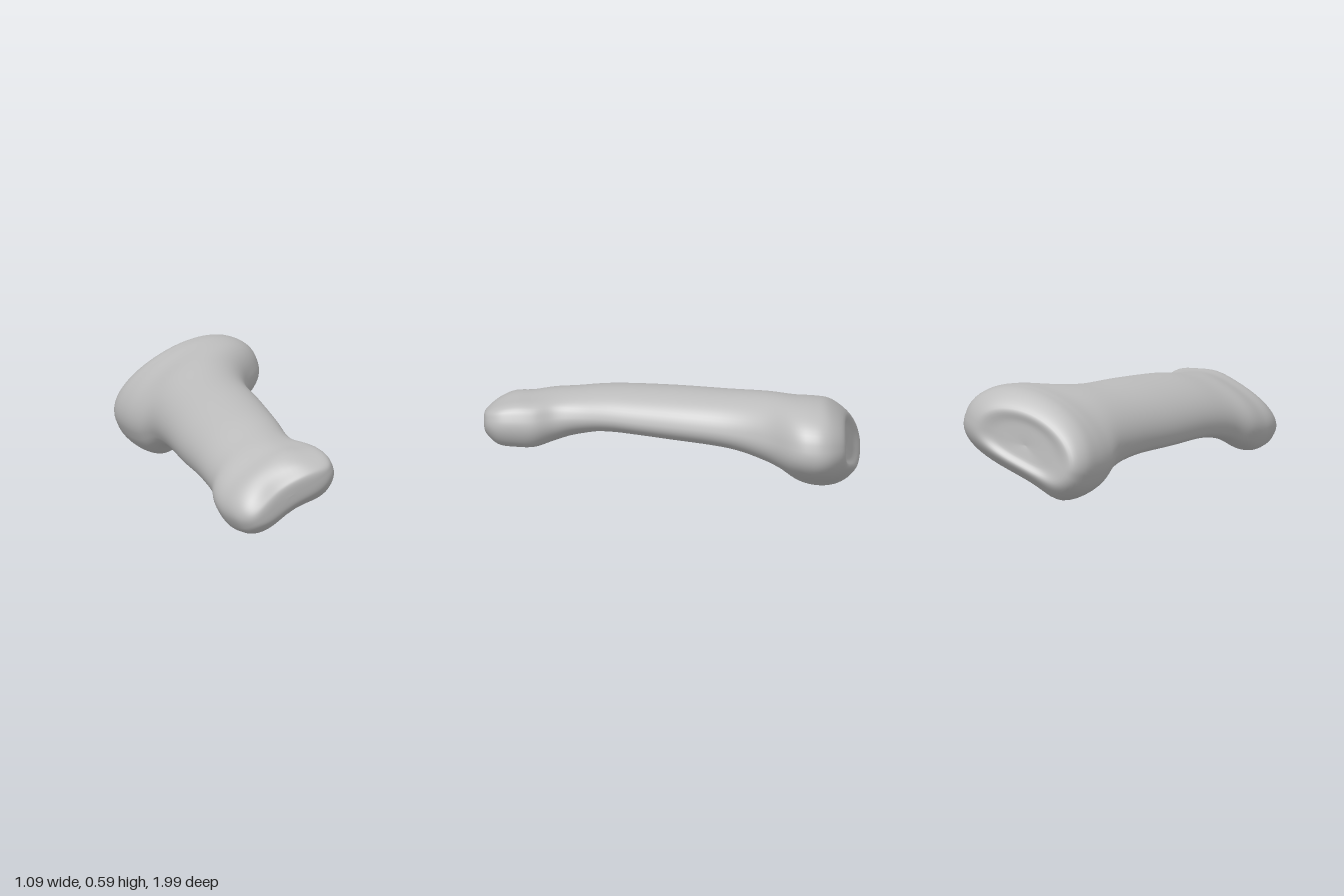
import * as THREE from 'three';

// Cross-sections from the socket rim (back) to the knuckle (front):
// z, centre x, centre y, half width, dorsal height, palmar depth
const BODY = [
  [-0.955, 0.14, 0.295, 0.30, 0.17, 0.12],
  [-0.89, 0.15, 0.30, 0.38, 0.245, 0.18],
  [-0.78, 0.15, 0.30, 0.406, 0.262, 0.195],
  [-0.65, 0.13, 0.305, 0.393, 0.255, 0.18],
  [-0.5, 0.055, 0.32, 0.308, 0.23, 0.15],
  [-0.3, -0.02, 0.325, 0.272, 0.207, 0.115],
  [0, -0.10, 0.325, 0.272, 0.195, 0.10],
  [0.3, -0.175, 0.322, 0.262, 0.177, 0.09],
  [0.5, -0.225, 0.30, 0.258, 0.165, 0.10],
  [0.62, -0.257, 0.28, 0.283, 0.163, 0.125],
  [0.73, -0.25, 0.265, 0.312, 0.163, 0.145],
  [0.83, -0.25, 0.265, 0.314, 0.158, 0.145],
  [0.91, -0.25, 0.262, 0.298, 0.127, 0.125],
  [0.965, -0.25, 0.262, 0.25, 0.078, 0.082],
];
const SIDES = 64;
const STEPS = 6;
const smooth = THREE.MathUtils.smoothstep;

// Shrunken copy of a section, used for the end surfaces
const shrink = ([z, x, y, ...sizes], k, dz) => [z + dz, x, y, ...sizes.map((v) => v * k)];
const rim = BODY[0];
const knuckle = BODY[BODY.length - 1];
const SECTIONS = [
  shrink(rim, 0.01, 0.04), shrink(rim, 0.6, 0.025), // hollow socket
  ...BODY,
  shrink(knuckle, 0.64, 0.02), shrink(knuckle, 0.01, 0.024), // rounded tip
];

// Smooth blend through the sections
function sectionAt(s) {
  const last = SECTIONS.length - 1;
  const i = Math.min(Math.floor(s), last - 1);
  const f = s - i;
  const row = (k) => SECTIONS[THREE.MathUtils.clamp(k, 0, last)];
  return row(i).map((p1, c) => {
    const p0 = row(i - 1)[c], p2 = row(i + 1)[c], p3 = row(i + 2)[c];
    const m1 = (p2 - p0) / 2, m2 = (p3 - p1) / 2;
    return p1 + f * (m1 + f * (3 * (p2 - p1) - 2 * m1 - m2 + f * (2 * (p1 - p2) + m1 + m2)));
  });
}

const softPower = (v, e) => Math.sign(v) * Math.pow(Math.abs(v), e);
const bump = (u, centre, spread) => Math.exp(-Math.pow((u - centre) / spread, 2));

// One point on a tilted section: domed dorsal side, flatter grooved palmar side
function bonePoint([z, cx, cy, width, top, bottom], angle) {
  const head = smooth(z, 0.35, 0.78);
  const base = 1 - smooth(z, -0.95, -0.65);
  const heel = 1 - smooth(z, -0.7, -0.4);
  const front = smooth(z, 0.8, 0.98);
  const tilt = THREE.MathUtils.degToRad(22 - 2 * smooth(z, -0.7, -0.2) + 7 * smooth(z, 0.15, 0.7));
  const groove = 0.3 * smooth(z, -0.75, -0.2) * (1 - front);
  const c = Math.cos(angle), s = Math.sin(angle);
  const e = s > 0 ? 1 - 0.15 * head : 0.7;
  const u = width * softPower(c, e);
  let v = (s > 0 ? top : bottom) * softPower(s, e);
  if (s > 0) {
    v *= 1 - 0.22 * head * bump(u, 0.26, 0.1); // sloping side of the left condyle
  } else {
    v *= 1 - groove * bump(u, 0, width * 0.42);
    v *= 1 + 0.2 * head * bump(u, 0.2, 0.12); // left condyle
    v *= 1 + 0.27 * heel * bump(u, -0.3, 0.13); // palmar heel of the base
  }
  // slanted socket end, and a notch between the two rounded condyles
  const dz = base * (0.12 * u + 0.03 * v + 0.9 * v * v)
    + front * (0.04 * u + 0.008 - 0.032 * bump(u, -0.03, 0.13));
  return [
    cx + u * Math.cos(tilt) - v * Math.sin(tilt),
    cy + u * Math.sin(tilt) + v * Math.cos(tilt),
    z + dz,
  ];
}

function boneGeometry() {
  const rings = (SECTIONS.length - 1) * STEPS;
  const positions = [], indices = [];
  for (let i = 0; i <= rings; i++) {
    const section = sectionAt(i / STEPS);
    for (let j = 0; j < SIDES; j++) {
      positions.push(...bonePoint(section, (j / SIDES) * Math.PI * 2));
    }
  }
  for (let i = 0; i < rings; i++) {
    for (let j = 0; j < SIDES; j++) {
      const a = i * SIDES + j, b = i * SIDES + ((j + 1) % SIDES);
      indices.push(a, b, b + SIDES, a, b + SIDES, a + SIDES);
    }
  }
  // close the tiny holes at both ends
  const n = rings * SIDES;
  for (let j = 1; j < SIDES - 1; j++) {
    indices.push(0, j + 1, j, n, n + j, n + j + 1);
  }
  const geometry = new THREE.BufferGeometry();
  geometry.setAttribute('position', new THREE.Float32BufferAttribute(positions, 3));
  geometry.setIndex(indices);
  geometry.computeVertexNormals();
  return geometry;
}

export function createModel() {
  const group = new THREE.Group();
  group.name = 'fingerBone';
  const material = new THREE.MeshStandardMaterial({ color: 0xbcbcbc });
  material.name = 'boneGrey';
  const bone = new THREE.Mesh(boneGeometry(), material);
  bone.name = 'phalanx';
  group.add(bone);
  return group;
}
